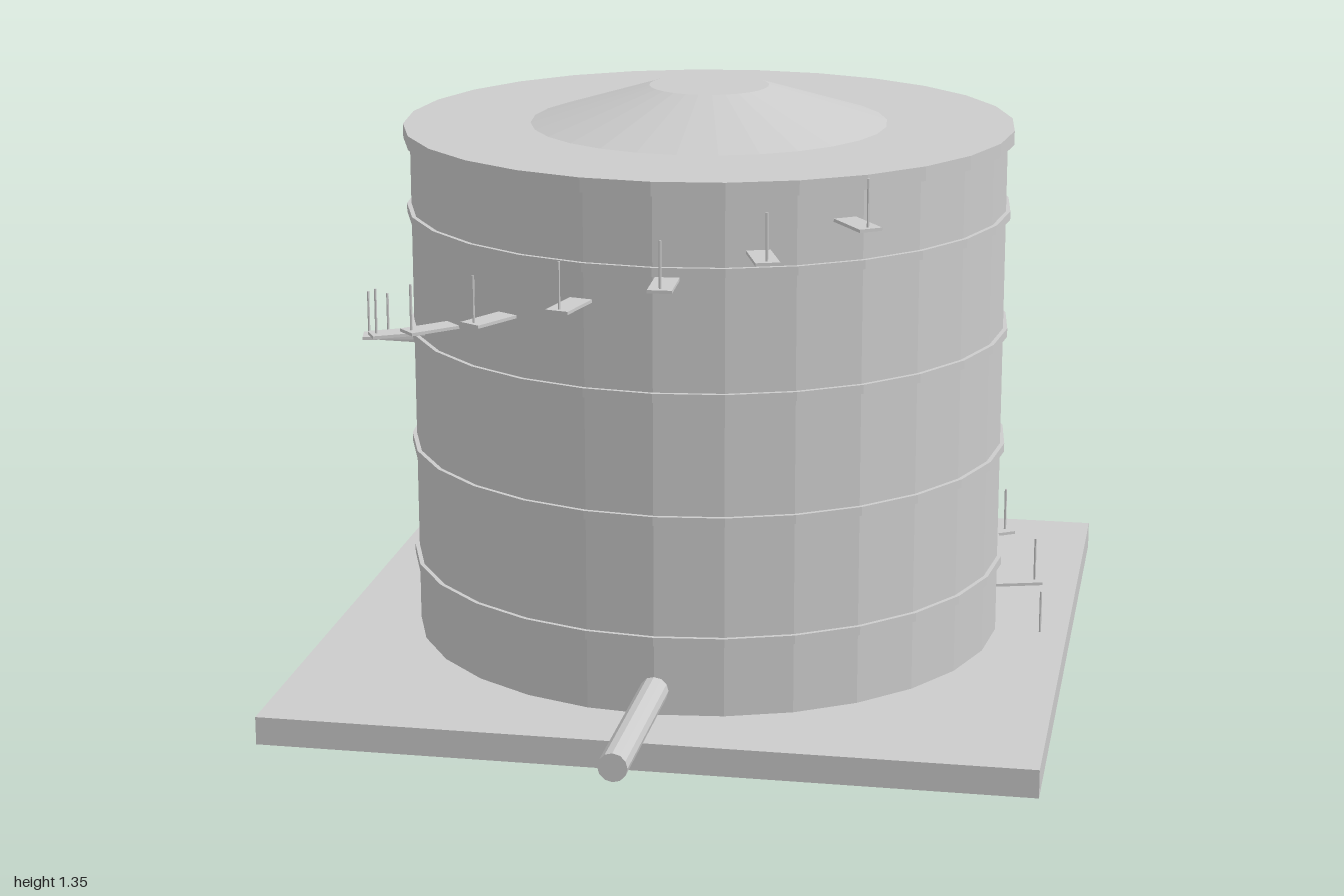
import * as THREE from 'three';

const SIDES = 28;
const material = new THREE.MeshStandardMaterial({ color: 0xcccccc, flatShading: true });

function add(parent, name, geometry, x = 0, y = 0, z = 0) {
  const mesh = new THREE.Mesh(geometry, material);
  mesh.name = name;
  mesh.position.set(x, y, z);
  parent.add(mesh);
  return mesh;
}

// Upright drum from y0 to y1
function drum(parent, name, rTop, rBottom, y0, y1) {
  return add(parent, name, new THREE.CylinderGeometry(rTop, rBottom, y1 - y0, SIDES), 0, (y0 + y1) / 2, 0);
}

export function createModel() {
  const model = new THREE.Group();
  model.name = 'storageTank';

  // The tank axis sits behind the centre because the pipe reaches forward
  const tank = new THREE.Group();
  tank.name = 'tank';
  tank.position.z = -0.14;
  model.add(tank);

  // Foundation slab
  add(tank, 'foundation', new THREE.BoxGeometry(1.72, 0.064, 1.72), 0, 0.032, 0);

  // Shell, roof rim and conical roof
  drum(tank, 'shell', 0.69, 0.69, 0.064, 1.24);
  drum(tank, 'roofRim', 0.705, 0.705, 1.231, 1.263);
  drum(tank, 'roofCone', 0.138, 0.412, 1.263, 1.348);

  // Stiffening bands
  for (let i = 0; i < 4; i++) {
    const y = 0.237 + i * 0.2765;
    drum(tank, 'band', 0.7, 0.7, y - 0.01, y + 0.01);
  }

  // Outlet pipe
  const pipe = add(tank, 'outletPipe', new THREE.CylinderGeometry(0.032, 0.032, 0.5, 12), 0, 0.12, 0.89);
  pipe.rotation.x = Math.PI / 2;

  // Spiral stair: radial treads, each with an upright post at its outer end
  const stair = new THREE.Group();
  stair.name = 'spiralStair';
  tank.add(stair);
  const tread = new THREE.BoxGeometry(0.12, 0.007, 0.053);
  const post = new THREE.CylinderGeometry(0.003, 0.003, 0.107, 6);
  for (let i = 0; i < 20; i++) {
    const step = new THREE.Group();
    step.name = 'step';
    step.position.y = 0.057 + i * 0.0585;
    step.rotation.y = THREE.MathUtils.degToRad(i * 16.04);
    add(step, 'tread', tread, 0.75, 0, 0);
    add(step, 'post', post, 0.796, 0.0535, 0);
    stair.add(step);
  }

  return model;
}
